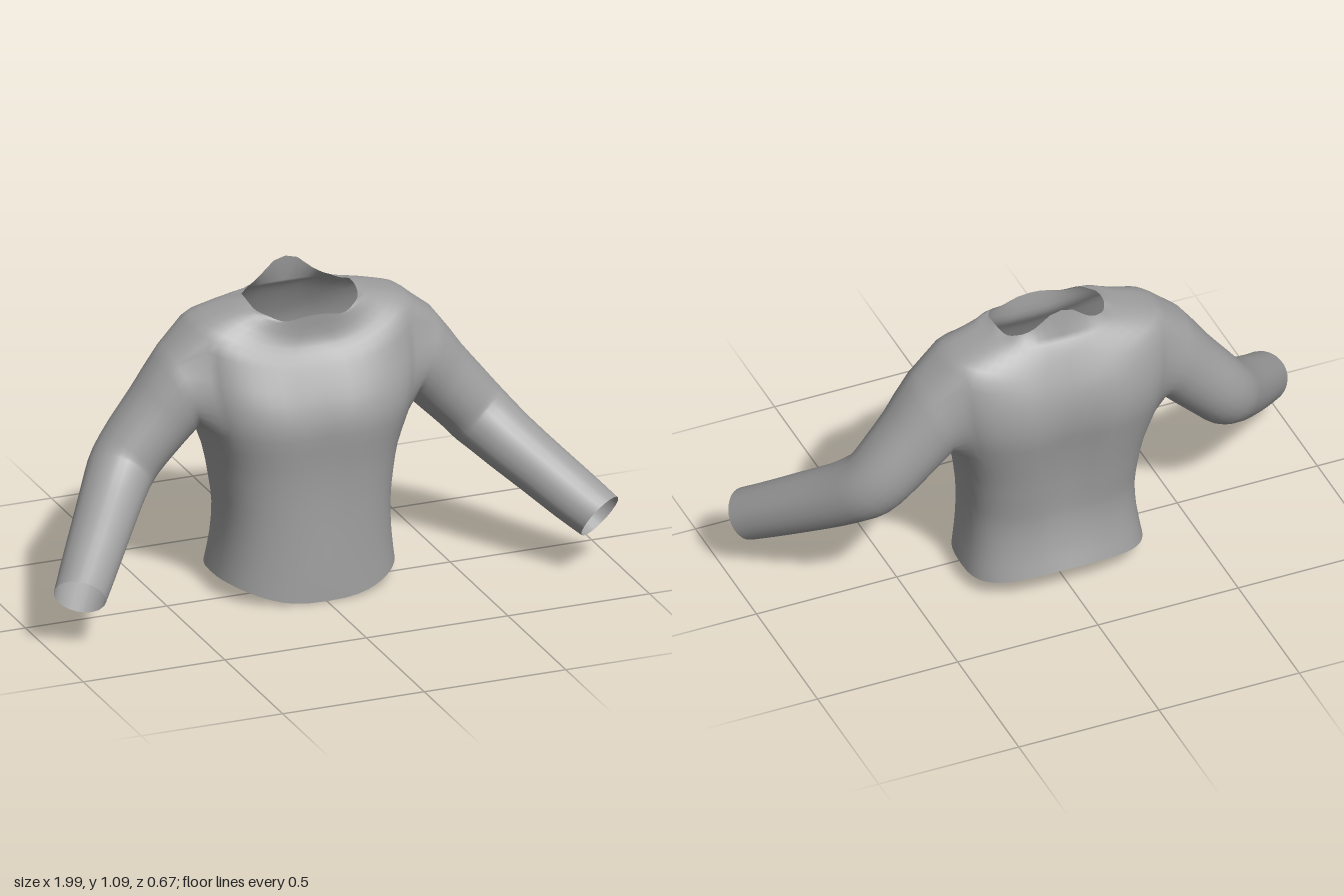
import * as THREE from 'three';

const V = (x, y, z) => new THREE.Vector3(x, y, z);
const HALF = 24;              // columns from centre back to centre front
const SUB = 2;                // smoothing steps between listed sections
const HOLE = { c0: 8, c1: 16, r0: 5 * SUB, r1: 9 * SUB }; // armhole in the torso grid

// torso sections: side y, front y, back y, half width, front z, back z
const TORSO = [
  [0.065, 0.005, 0.10, 0.31, 0.16, -0.30],
  [0.17, 0.13, 0.18, 0.295, 0.16, -0.28],
  [0.28, 0.26, 0.28, 0.29, 0.162, -0.272],
  [0.38, 0.38, 0.38, 0.30, 0.166, -0.285],
  [0.49, 0.49, 0.49, 0.32, 0.175, -0.302],
  [0.60, 0.59, 0.60, 0.36, 0.188, -0.322],
  [0.68, 0.65, 0.68, 0.385, 0.184, -0.337],
  [0.76, 0.71, 0.76, 0.40, 0.165, -0.337],
  [0.85, 0.78, 0.83, 0.405, 0.13, -0.32],
  [0.94, 0.83, 0.89, 0.393, 0.10, -0.29],
  [0.972, 0.87, 0.94, 0.33, 0.07, -0.26],
  [0.995, 0.91, 0.985, 0.25, 0.058, -0.228],
  [1.01, 0.975, 1.01, 0.19, 0.06, -0.20],
];

// sleeve sections: upper x, y, lower x, y, centre z, front-back radius
const SLEEVE = [
  [0.47, 0.88, 0.37, 0.59, -0.10, 0.145],
  [0.53, 0.80, 0.395, 0.565, -0.10, 0.137],
  [0.575, 0.735, 0.435, 0.525, -0.10, 0.13],
  [0.65, 0.64, 0.505, 0.455, -0.095, 0.122],
  [0.70, 0.575, 0.55, 0.405, -0.08, 0.115],
  [0.735, 0.53, 0.59, 0.37, -0.045, 0.11],
  [0.78, 0.475, 0.64, 0.325, 0.01, 0.105],
  [0.85, 0.40, 0.715, 0.262, 0.10, 0.10],
  [0.92, 0.328, 0.79, 0.197, 0.19, 0.093],
  [0.982, 0.262, 0.854, 0.147, 0.27, 0.088],
];

// smooth resampling of a table of six-number sections
function resample(rows) {
  const a = new THREE.CatmullRomCurve3(rows.map(r => V(r[0], r[1], r[2])), false, 'catmullrom');
  const b = new THREE.CatmullRomCurve3(rows.map(r => V(r[3], r[4], r[5])), false, 'catmullrom');
  const n = (rows.length - 1) * SUB;
  return Array.from({ length: n + 1 }, (_, i) =>
    [...a.getPoint(i / n).toArray(), ...b.getPoint(i / n).toArray()]);
}

function torsoPoint([ys, yf, yb, rx, zf, zb], j, isNeck) {
  const th = (j / HALF - 0.5) * Math.PI;
  const s = Math.sin(th), m = Math.abs(s);
  const x = j === 0 || j === HALF ? 0 : rx * Math.cos(th) ** 0.75;
  const zc = zf * 0.45 + zb * 0.55;
  let y = ys + ((s > 0 ? yf : yb) - ys) * m ** 3;
  let z = zc + ((s > 0 ? zf : zb) - zc) * m ** 0.75;
  // spine groove and shallow chest groove
  const groove = Math.exp(-((x / 0.08) ** 2)) *
    Math.sin(Math.PI * THREE.MathUtils.clamp((y - 0.1) / 0.87, 0, 1));
  z += groove * (s > 0 ? -0.014 : 0.036);
  // ragged neckline with a raised tab at the back
  if (isNeck) {
    y += 0.005 * Math.sin(j * 5.3);
    if (s > 0) y -= 0.02 * Math.sin(2 * th) ** 2;
    else y += 0.08 * (1 - THREE.MathUtils.smoothstep(x, 0.02, 0.14));
  }
  return V(x, y, z);
}

export function createModel() {
  const pts = [], torso = [], sleeve = [];
  const quad = (list, a, b, c, d) => list.push(a, b, c, a, c, d);

  // left half of the torso, leaving the armhole open
  const rows = resample(TORSO);
  const id = (i, j) => i * (HALF + 1) + j;
  rows.forEach((r, i) => {
    for (let j = 0; j <= HALF; j++) pts.push(torsoPoint(r, j, i === rows.length - 1));
  });
  const { c0, c1, r0, r1 } = HOLE;
  for (let i = 0; i < rows.length - 1; i++) {
    for (let j = 0; j < HALF; j++) {
      if (i >= r0 && i < r1 && j >= c0 && j < c1) continue;
      quad(torso, id(i, j), id(i + 1, j), id(i + 1, j + 1), id(i, j + 1));
    }
  }

  // armhole edge, from which the sleeve grows
  let ring = [];
  for (let j = c0; j < c1; j++) ring.push(id(r0, j));
  for (let i = r0; i < r1; i++) ring.push(id(i, c1));
  for (let j = c1; j > c0; j--) ring.push(id(r1, j));
  for (let i = r1; i > r0; i--) ring.push(id(i, c0));

  const sections = resample(SLEEVE).map(([tx, ty, bx, by, z, rad]) => ({
    c: V((tx + bx) / 2, (ty + by) / 2, z),
    u: V((tx - bx) / 2, (ty - by) / 2, 0), rad,
  }));
  sections.forEach((s, k) => {
    const next = sections[Math.min(k + 1, sections.length - 1)].c;
    const prev = sections[Math.max(k - 1, 0)].c;
    s.w = next.clone().sub(prev).cross(s.u).setLength(s.rad);
  });
  const first = sections[0];
  const angles = ring.map(n => {
    const d = pts[n].clone().sub(first.c);
    return Math.atan2(d.dot(first.w) / first.w.lengthSq(), d.dot(first.u) / first.u.lengthSq());
  });
  for (const { c, u, w } of sections) {
    const fresh = angles.map(a => pts.push(c.clone()
      .addScaledVector(u, Math.cos(a)).addScaledVector(w, Math.sin(a))) - 1);
    ring.forEach((n, l) => {
      const m = (l + 1) % ring.length;
      quad(sleeve, n, fresh[l], fresh[m], ring[m]);
    });
    ring = fresh;
  }

  // mirror to the right half, sharing the centre seam
  const count = pts.length;
  const twin = n => (pts[n].x === 0 ? n : n + count);
  const mirrored = list => {
    const out = [];
    for (let k = 0; k < list.length; k += 3) out.push(twin(list[k]), twin(list[k + 2]), twin(list[k + 1]));
    return out;
  };
  const all = [...pts, ...pts.map(p => V(-p.x, p.y, p.z))];
  const rightSleeve = mirrored(sleeve);
  const body = [...torso, ...mirrored(torso)];

  // normals are computed over the whole garment so the shoulder seams stay smooth
  const whole = new THREE.BufferGeometry().setFromPoints(all);
  whole.setIndex([...body, ...sleeve, ...rightSleeve]);
  whole.computeVertexNormals();

  const fabric = new THREE.MeshStandardMaterial({ color: 0xa0a0a0, side: THREE.DoubleSide });
  fabric.name = 'grey fabric';
  const group = new THREE.Group();
  group.name = 'longSleevedShirt';
  const parts = { torso: body, leftSleeve: sleeve, rightSleeve };
  for (const [name, index] of Object.entries(parts)) {
    const g = new THREE.BufferGeometry();
    g.setAttribute('position', whole.getAttribute('position'));
    g.setAttribute('normal', whole.getAttribute('normal'));
    g.setIndex(index);
    const mesh = new THREE.Mesh(g, fabric);
    mesh.name = name;
    group.add(mesh);
  }
  return group;
}
